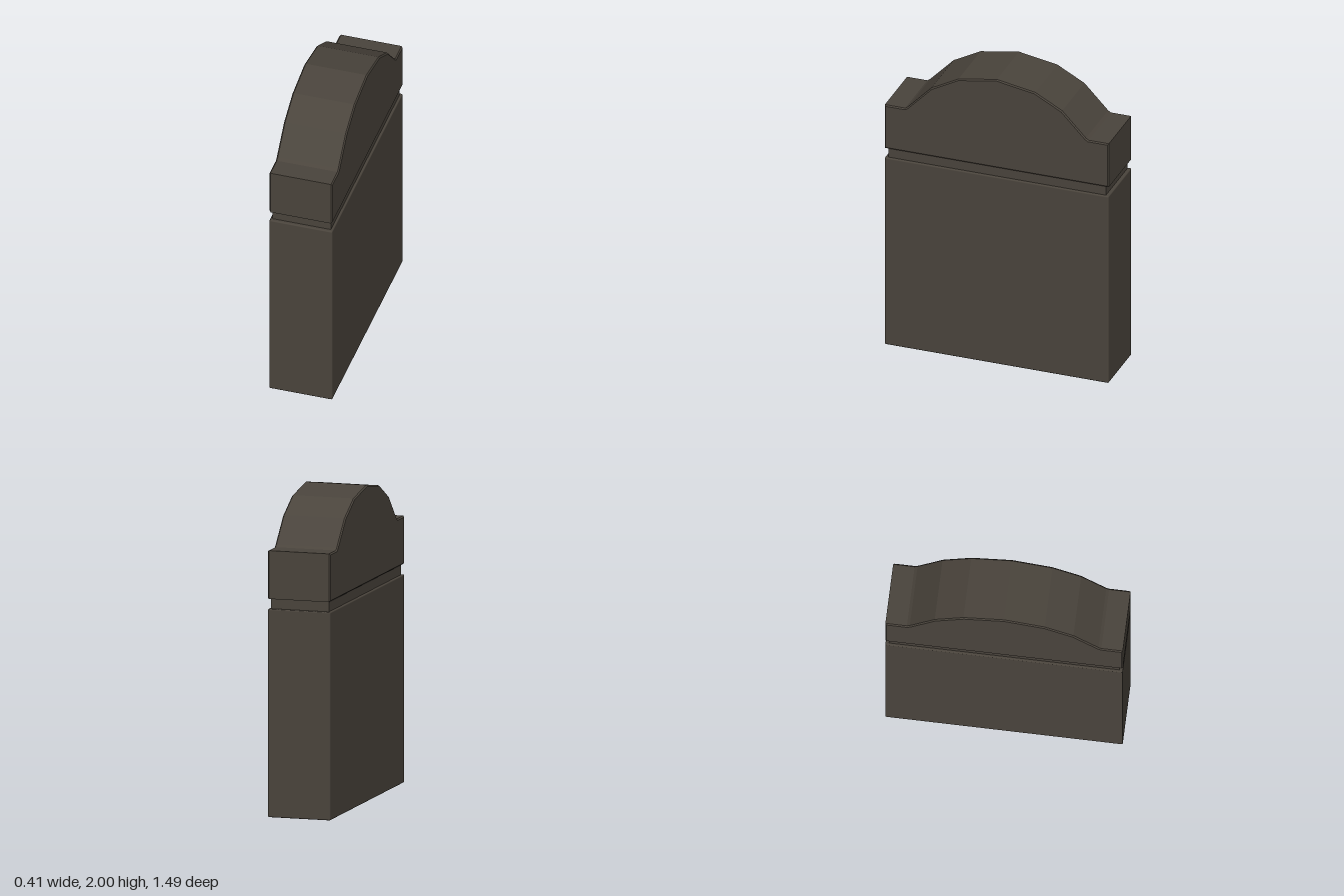
import * as THREE from 'three';
import { RoundedBoxGeometry } from 'three/addons/geometries/RoundedBoxGeometry.js';

const WIDTH = 0.41, DEPTH = 1.49, BEVEL = 0.008;

export function createModel() {
  const group = new THREE.Group();
  group.name = 'headstone';
  const stone = new THREE.MeshStandardMaterial({ color: 0x4a443c });
  stone.name = 'dark stone';

  const add = (name, geometry, y = 0) => {
    const mesh = new THREE.Mesh(geometry, stone);
    mesh.name = name;
    mesh.position.y = y;
    group.add(mesh);
  };

  // Main slab with softly worn edges
  add('slab', new RoundedBoxGeometry(WIDTH, 1.315, DEPTH, 2, BEVEL), 1.315 / 2);

  // Recessed band between slab and cap
  add('recessedBand', new THREE.BoxGeometry(WIDTH - 0.03, 0.1, DEPTH - 0.045), 1.348);

  // Arched cap: half profile mirrored about the centre, extruded across the width
  const half = [[0.745, 1.38], [0.745, 1.685], [0.61, 1.685], [0.592, 1.697], [0.435, 1.86], [0.255, 1.956]];
  const profile = [
    ...half,
    [0, 2],
    ...half.map(([z, y]) => [-z, y]).reverse(),
  ].map(([z, y]) => new THREE.Vector2(z, y));
  const cap = new THREE.ExtrudeGeometry(new THREE.Shape(profile), {
    depth: WIDTH - 2 * BEVEL,
    bevelThickness: BEVEL,
    bevelSize: BEVEL,
    bevelOffset: -BEVEL,
    bevelSegments: 1,
  });
  cap.translate(0, 0, BEVEL - WIDTH / 2);
  cap.rotateY(-Math.PI / 2);
  add('archedCap', cap);

  return group;
}
